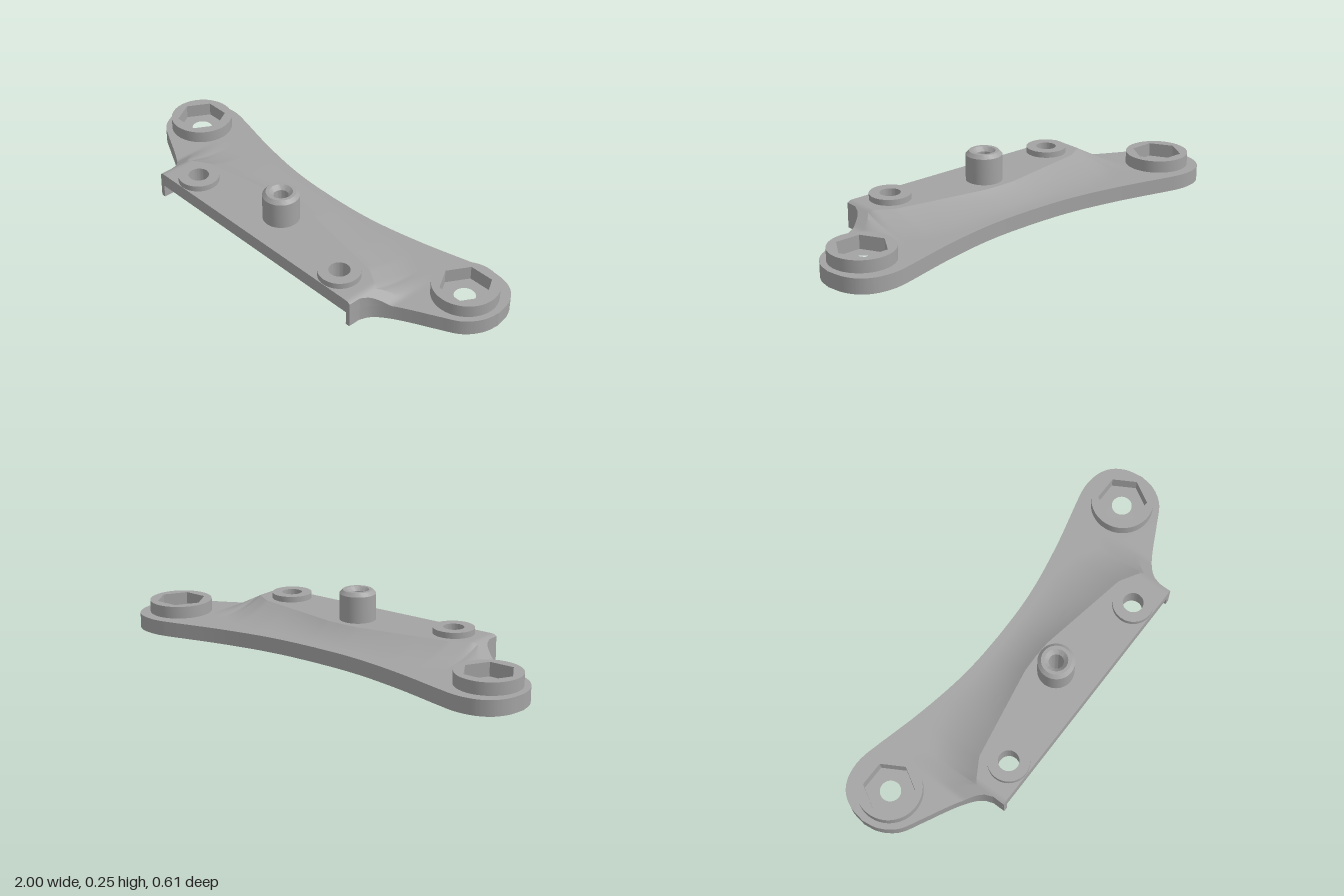
import * as THREE from 'three';
import { toCreasedNormals } from 'three/addons/utils/BufferGeometryUtils.js';

const V2 = (x, y) => new THREE.Vector2(x, y);
const SLAB = 0.06, THIN = 0.067, TOP = 0.121, FRONT = 0.306;
const PAD = { x: 0.83, z: -0.118, r: 0.14, hole: 0.045 };
const MOUNT = { x: 0.445, z: 0.214, r: 0.09, hole: 0.045 };
const BOSS = { x: 0, z: 0.128, r: 0.08, hole: 0.032 };

const smooth = (knots) => new THREE.CatmullRomCurve3(
  knots.map(([x, z]) => new THREE.Vector3(x, 0, z))).getPoints(120).map((p) => [p.x, p.z]);

// Linear lookup in a list of [x, z] points
function lookup(pts, x) {
  for (let i = 1; i < pts.length; i++) {
    const [x0, z0] = pts[i - 1], [x1, z1] = pts[i];
    if (x <= x1) return x1 === x0 ? z1 : z0 + (z1 - z0) * Math.max(0, (x - x0) / (x1 - x0));
  }
  return pts[pts.length - 1][1];
}

// Plan outline of one half: back edge and front edge
const backPts = smooth([[0, -0.178], [0.15, -0.182], [0.29, -0.196], [0.5, -0.235], [0.717, -0.289],
  [0.78, -0.303], [0.834, -0.306], [0.9, -0.293], [0.95, -0.261], [0.985, -0.205], [1, -0.13]]);
const frontPts = smooth([[0.6, 0.25], [0.61, 0.22], [0.636, 0.187], [0.69, 0.147], [0.75, 0.113],
  [0.85, 0.062], [0.93, 0.018], [0.965, -0.02], [0.99, -0.07], [1, -0.13]]);
const ridgePts = [[0, 0.02], [0.08, 0.023], [0.5, 0.1], [0.6, 0.16]];
const recess = [[0.58, FRONT], [0.58, 0.175], [0.53, 0.11], [0.3, 0.055], [0.08, 0.012]];

const backZ = (x) => lookup(backPts, Math.abs(x));
const frontZ = (x) => (Math.abs(x) < 0.6 ? FRONT : lookup(frontPts, Math.abs(x)));
const ridgeZ = (x) => Math.min(lookup(ridgePts, Math.abs(x)), backZ(x) + 0.85 * (frontZ(x) - backZ(x)));

// Height of the upper face: a raised deck sweeping down to the thin plate
function height(x, z) {
  const ridge = ridgeZ(x);
  const span = Math.min(0.24, 0.85 * (ridge - backZ(x)));
  const t = THREE.MathUtils.clamp((ridge - z) / span, 0, 1);
  const s = THREE.MathUtils.clamp((Math.abs(x) - 0.585) / 0.095, 0, 1);
  return THIN + (TOP - THIN) * (1 - t) ** 2 * (1 - s);
}

function columns() {
  const half = [0.5999, 0.6];
  for (let i = 1; i <= 100; i++) half.push(Math.sin((i / 100) * Math.PI / 2));
  half.sort((a, b) => a - b);
  return [...half.map((x) => -x).reverse(), 0, ...half];
}

// Upper face and its rim, left open beneath the bushings
function deckGeometry(xs) {
  const pos = [], index = [], A = 16, B = 16;
  const rows = A + B + 3;
  for (const x of xs) {
    const b = backZ(x), r = ridgeZ(x), f = frontZ(x);
    pos.push(x, SLAB, b);
    for (let j = 0; j <= A + B; j++) {
      const z = j <= A ? b + (r - b) * j / A : r + (f - r) * (j - A) / B;
      pos.push(x, height(x, z), z);
    }
    pos.push(x, SLAB, f);
  }
  const covered = (...ids) => {
    const cx = ids.reduce((s, i) => s + pos[i * 3], 0) / 3;
    const cz = ids.reduce((s, i) => s + pos[i * 3 + 2], 0) / 3;
    return [PAD, MOUNT, BOSS].some((p) => Math.hypot(Math.abs(cx) - p.x, cz - p.z) < p.r - 0.025);
  };
  for (let i = 0; i < xs.length - 1; i++) {
    for (let j = 0; j < rows - 1; j++) {
      const a = i * rows + j, b = a + 1, d = a + rows, c = d + 1;
      if (!covered(a, b, c)) index.push(a, b, c);
      if (!covered(a, c, d)) index.push(a, c, d);
    }
  }
  const g = new THREE.BufferGeometry();
  g.setAttribute('position', new THREE.Float32BufferAttribute(pos, 3));
  g.setIndex(index);
  return toCreasedNormals(g, 0.4);
}

const circle = (x, y, r) => new THREE.Path().absarc(x, y, r, 0, Math.PI * 2, true);

function extrudeUp(shape, y0, y1) {
  const g = new THREE.ExtrudeGeometry(shape, { depth: y1 - y0, bevelEnabled: false, curveSegments: 32 });
  g.rotateX(-Math.PI / 2).translate(0, y0, 0);
  return toCreasedNormals(g, 0.5);
}

// Lower slab: the outline with the front recess cut out of it
function slabGeometry(xs) {
  const side = xs.filter((x) => x >= 0.6);
  const pts = xs.map((x) => V2(x, -backZ(x)));
  side.slice(0, -1).reverse().forEach((x) => pts.push(V2(x, -frontZ(x))));
  pts.push(V2(0.6, -FRONT));
  recess.forEach(([x, z]) => pts.push(V2(x, -z)));
  [...recess].reverse().forEach(([x, z]) => pts.push(V2(-x, -z)));
  pts.push(V2(-0.6, -FRONT));
  side.slice(0, -1).forEach((x) => pts.push(V2(-x, -frontZ(x))));
  const shape = new THREE.Shape(pts);
  for (const s of [1, -1]) shape.holes.push(circle(s * PAD.x, -PAD.z, PAD.hole));
  return extrudeUp(shape, 0, SLAB);
}

// Underside of the deck inside the recess
function ceilingGeometry() {
  const shape = new THREE.Shape([
    ...recess.map(([x, z]) => V2(x, z)), ...[...recess].reverse().map(([x, z]) => V2(-x, z))]);
  for (const s of [1, -1]) shape.holes.push(circle(s * MOUNT.x, MOUNT.z, MOUNT.hole));
  shape.holes.push(circle(BOSS.x, BOSS.z, BOSS.hole));
  return new THREE.ShapeGeometry(shape, 32).rotateX(Math.PI / 2).translate(0, SLAB, 0);
}

// Round pad with a hexagonal pocket
function padGeometry() {
  const shape = new THREE.Shape().absarc(0, 0, PAD.r, 0, Math.PI * 2, false);
  const hex = [];
  for (let i = 0; i < 6; i++) hex.push(V2(0.11 * Math.cos(-i * Math.PI / 3), 0.11 * Math.sin(-i * Math.PI / 3)));
  shape.holes.push(new THREE.Path(hex));
  return extrudeUp(shape, SLAB, TOP);
}

const turned = (profile) => toCreasedNormals(
  new THREE.LatheGeometry(profile.map(([r, y]) => V2(r, y)), 48), 0.5);

export function createModel() {
  const group = new THREE.Group();
  const grey = new THREE.MeshStandardMaterial({ color: 0xa3a3a3 });
  grey.name = 'grey';
  const add = (name, geometry, x = 0, z = 0) => {
    const mesh = new THREE.Mesh(geometry, grey);
    mesh.name = name;
    mesh.position.set(x, 0, z);
    group.add(mesh);
  };
  const xs = columns();
  add('deck', deckGeometry(xs));
  add('slab', slabGeometry(xs));
  add('recessCeiling', ceilingGeometry());

  const pad = padGeometry();
  const bushing = turned([[MOUNT.hole, SLAB], [MOUNT.r, SLAB], [MOUNT.r, 0.147],
    [MOUNT.hole, 0.147], [MOUNT.hole, SLAB]]);
  for (const [s, label] of [[1, 'left'], [-1, 'right']]) {
    add(label + 'HexPad', pad, s * PAD.x, PAD.z);
    add(label + 'Bushing', bushing, s * MOUNT.x, MOUNT.z);
  }
  // Centre post, chamfered inside and out
  add('centrePost', turned([[BOSS.hole, SLAB], [BOSS.r, SLAB], [BOSS.r, 0.238], [0.065, 0.254],
    [0.05, 0.254], [BOSS.hole, 0.236], [BOSS.hole, SLAB]]), BOSS.x, BOSS.z);
  return group;
}
